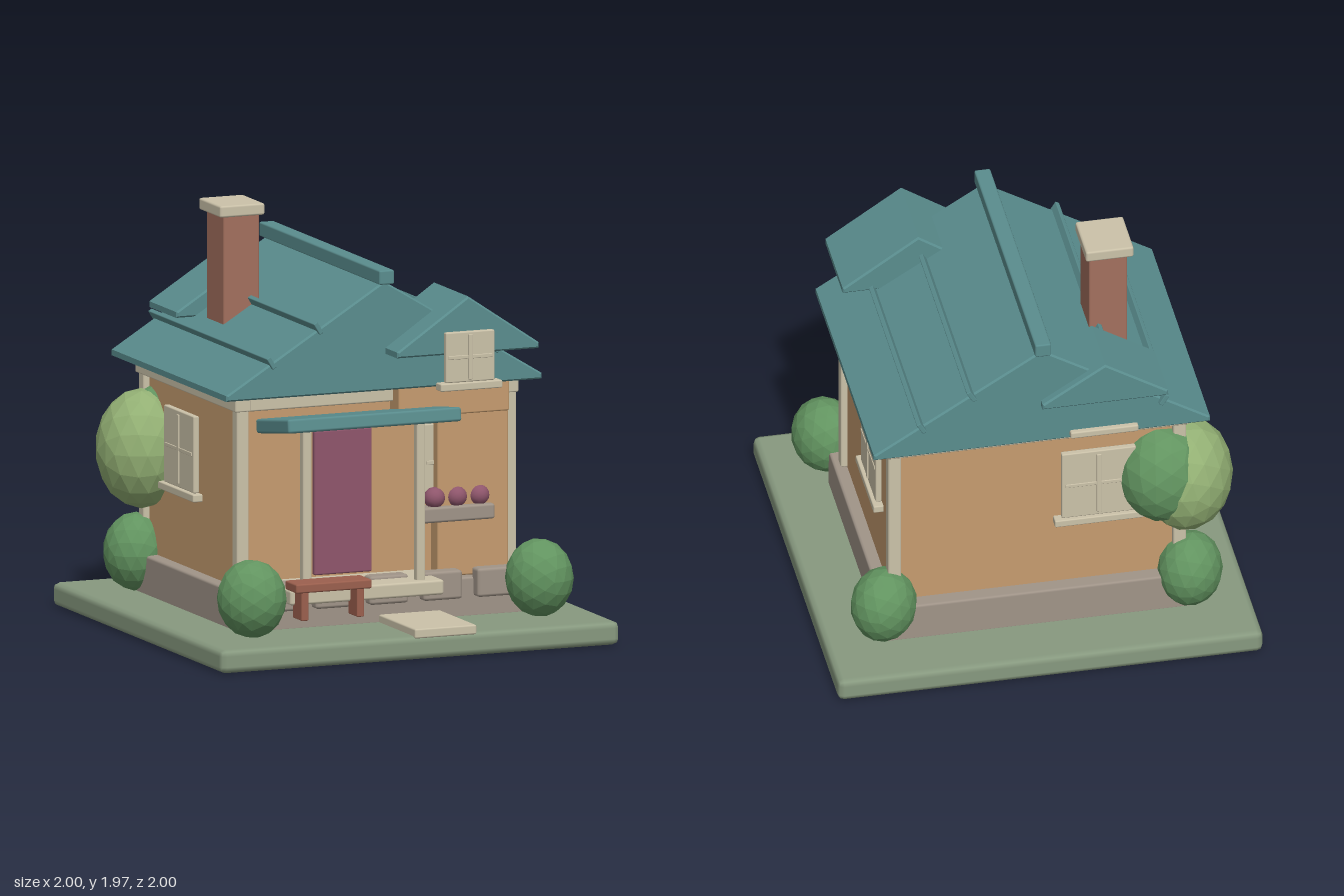
import * as THREE from 'three';
import { RoundedBoxGeometry } from 'three/addons/geometries/RoundedBoxGeometry.js';

const mat = (name, color, flatShading = false) => {
  const m = new THREE.MeshStandardMaterial({ color, flatShading });
  m.name = name;
  return m;
};

export function createModel() {
  const lawn = mat('lawn green', 0x87997f);
  const stone = mat('stone taupe', 0xa09488);
  const cream = mat('cream trim', 0xcbc2a9);
  const wall = mat('tan wall', 0xc69c6f);
  const plum = mat('plum', 0x8f566c);
  const teal = mat('teal roof', 0x5a8d8e);
  const brick = mat('brick', 0xa3705e);
  const wood = mat('bench wood', 0x9c604e);
  const leaf = mat('bush green', 0x629460, true);
  const paleLeaf = mat('pale leaf green', 0x93b074, true);

  const house = new THREE.Group();
  house.name = 'cottage';

  const add = (name, geo, material, parent = house) => {
    const mesh = new THREE.Mesh(geo, material);
    mesh.name = name;
    parent.add(mesh);
    return mesh;
  };
  // Softly bevelled box given by its min and max on each axis
  const box = (name, material, [x0, x1], [y0, y1], [z0, z1], bevel = 0.008, parent = house) => {
    const w = x1 - x0, h = y1 - y0, d = z1 - z0;
    const r = Math.min(bevel, Math.min(w, h, d) * 0.4);
    const mesh = add(name, new RoundedBoxGeometry(w, h, d, 1, r), material, parent);
    mesh.position.set((x0 + x1) / 2, (y0 + y1) / 2, (z0 + z1) / 2);
    return mesh;
  };
  // Solid gable roof with a short upright eave
  const gable = (name, cx, half, y0, eave, apex, z0, z1) => {
    const b = 0.008;
    const s = new THREE.Shape([
      new THREE.Vector2(-half + b, y0 + b), new THREE.Vector2(half - b, y0 + b),
      new THREE.Vector2(half - b, eave), new THREE.Vector2(0, apex - b), new THREE.Vector2(-half + b, eave),
    ]);
    const g = new THREE.ExtrudeGeometry(s, {
      depth: z1 - z0 - 2 * b, bevelEnabled: true, bevelSize: b, bevelThickness: b, bevelSegments: 1,
    });
    add(name, g, teal).position.set(cx, 0, z0 + b);
  };
  // Paned window facing +z, with an optional sill
  const windowUnit = (name, w, h, x, y, z, turn, sillWidth) => {
    const g = new THREE.Group();
    g.name = name;
    box('windowPanel', cream, [-w / 2, w / 2], [-h / 2, h / 2], [-0.015, 0.015], 0.006, g);
    box('uprightBar', cream, [-0.011, 0.011], [-h * 0.45, h * 0.45], [0, 0.022], 0.003, g);
    box('crossBar', cream, [-w * 0.45, w * 0.45], [-0.009, 0.009], [0, 0.019], 0.003, g);
    if (sillWidth) {
      box('sill', cream, [-sillWidth / 2, sillWidth / 2], [-h / 2 - 0.036, -h / 2], [-0.03, 0.032], 0.006, g);
    }
    g.position.set(x, y, z);
    g.rotation.y = turn;
    house.add(g);
  };
  // Faceted foliage ball
  const foliage = (name, material, x, y, z, rx, ry, rz, turn = 0) => {
    const mesh = add(name, new THREE.IcosahedronGeometry(1, 2), material);
    mesh.scale.set(rx, ry, rz);
    mesh.position.set(x, y, z);
    mesh.rotation.y = turn;
  };

  // Ground, path and foundation
  box('lawn', lawn, [-1, 1], [0, 0.11], [-1, 1], 0.03);
  box('pathSlab', cream, [-0.03, 0.28], [0.1, 0.145], [0.57, 1]);
  box('foundation', stone, [-0.73, 0.73], [0.1, 0.29], [-0.72, 0.577], 0.012);
  for (let i = -2; i <= 2; i++) {
    const x = i * 0.27;
    box('foundationStone', stone, [x - 0.098, x + 0.098], [0.2, 0.335], [0.55, 0.63], 0.015);
  }

  // Walls, front bay, corner posts and top trim
  box('walls', wall, [-0.67, 0.67], [0.28, 1.2], [-0.65, 0.45]);
  box('bay', wall, [0.285, 0.64], [0.29, 1.06], [0.4, 0.525]);
  box('bayHeader', wall, [0.08, 0.635], [1.05, 1.2], [0.4, 0.55]);
  for (const x of [-0.67, 0.67]) {
    for (const z of [-0.65, 0.45]) {
      box('cornerPost', cream, [x - 0.031, x + 0.031], [0.29, 1.14], [z - 0.031, z + 0.031]);
    }
    box('sideTrim', cream, [x - 0.04, x + 0.04], [1.12, 1.197], [-0.7, 0.485]);
  }
  for (const z of [-0.67, 0.452]) {
    box('endTrim', cream, [-0.7, 0.7], [1.12, 1.197], [z - 0.03, z + 0.03]);
  }

  // Door and windows
  box('door', plum, [-0.31, -0.02], [0.33, 1.005], [0.44, 0.475]);
  windowUnit('rightWindow', 0.35, 0.36, -0.685, 0.838, -0.208, -Math.PI / 2, 0.42);
  windowUnit('leftWindow', 0.35, 0.36, 0.685, 0.838, -0.208, Math.PI / 2, 0.42);
  windowUnit('backWindow', 0.35, 0.36, -0.29, 0.838, -0.665, Math.PI, 0.42);
  windowUnit('frontWindow', 0.29, 0.36, 0.38, 0.82, 0.465, 0, 0);
  windowUnit('dormerWindow', 0.245, 0.235, 0.358, 1.352, 0.725, 0, 0.31);
  box('backDormerSill', cream, [-0.45, -0.13], [1.2, 1.235], [-0.815, -0.76]);

  // Flower box
  box('flowerBox', stone, [0.2, 0.56], [0.55, 0.622], [0.46, 0.56], 0.012);
  for (const x of [0.275, 0.385, 0.497]) foliage('flower', plum, x, 0.66, 0.51, 0.05, 0.05, 0.05);

  // Main roof, dormers, ridge and battens
  gable('mainRoof', 0, 0.79, 1.19, 1.213, 1.7, -0.79, 0.57);
  gable('frontDormerRoof', 0.36, 0.355, 1.362, 1.385, 1.627, 0.3, 0.713);
  gable('backDormerRoof', -0.29, 0.295, 1.395, 1.418, 1.605, -0.83, -0.5);
  box('ridgeCap', teal, [-0.038, 0.038], [1.69, 1.757], [-0.82, 0.6]);
  for (const side of [-1, 1]) {
    for (const x of [0.335, 0.57]) {
      const b = box('roofBatten', teal, [-0.011, 0.011], [-0.03, 0.03], [-0.815, 0.585], 0.004);
      b.position.x = side * x;
      b.position.y = 1.7 - x * 0.625 + 0.015;
      b.rotation.z = -side * 0.55;
    }
  }

  // Chimney
  box('chimney', brick, [-0.48, -0.3], [1.25, 1.92], [-0.4, -0.195]);
  box('chimneyCap', cream, [-0.505, -0.28], [1.91, 1.965], [-0.43, -0.175], 0.01);

  // Porch
  box('porchDeck', cream, [-0.55, 0.222], [0.25, 0.32], [0.44, 0.755], 0.012);
  for (const x of [-0.45, 0.12]) box('porchPost', cream, [x - 0.022, x + 0.022], [0.31, 1.08], [0.678, 0.722]);
  const porchRoof = box('porchRoof', teal, [-0.597, 0.273], [-0.033, 0.033], [-0.195, 0.195], 0.012);
  porchRoof.position.set(-0.162, 1.076, 0.648);
  porchRoof.rotation.x = -0.155;

  // Bench
  box('benchSeat', wood, [-0.56, -0.18], [0.322, 0.365], [0.715, 0.848]);
  for (const x of [-0.51, -0.232]) box('benchLeg', wood, [x - 0.018, x + 0.018], [0.19, 0.33], [0.73, 0.835], 0.005);

  // Corner bushes and the tree crown by the back corner
  for (const x of [-0.72, 0.72]) {
    for (const z of [-0.67, 0.7]) foliage('bush', leaf, x, 0.287, z, 0.163, 0.183, 0.15, x * 2 + z);
  }
  foliage('treeCrown', leaf, -0.6, 0.83, -0.625, 0.215, 0.255, 0.21, 0.4);
  foliage('treeCrownPale', paleLeaf, -0.715, 0.78, -0.605, 0.235, 0.28, 0.215, 1.1);

  return house;
}
